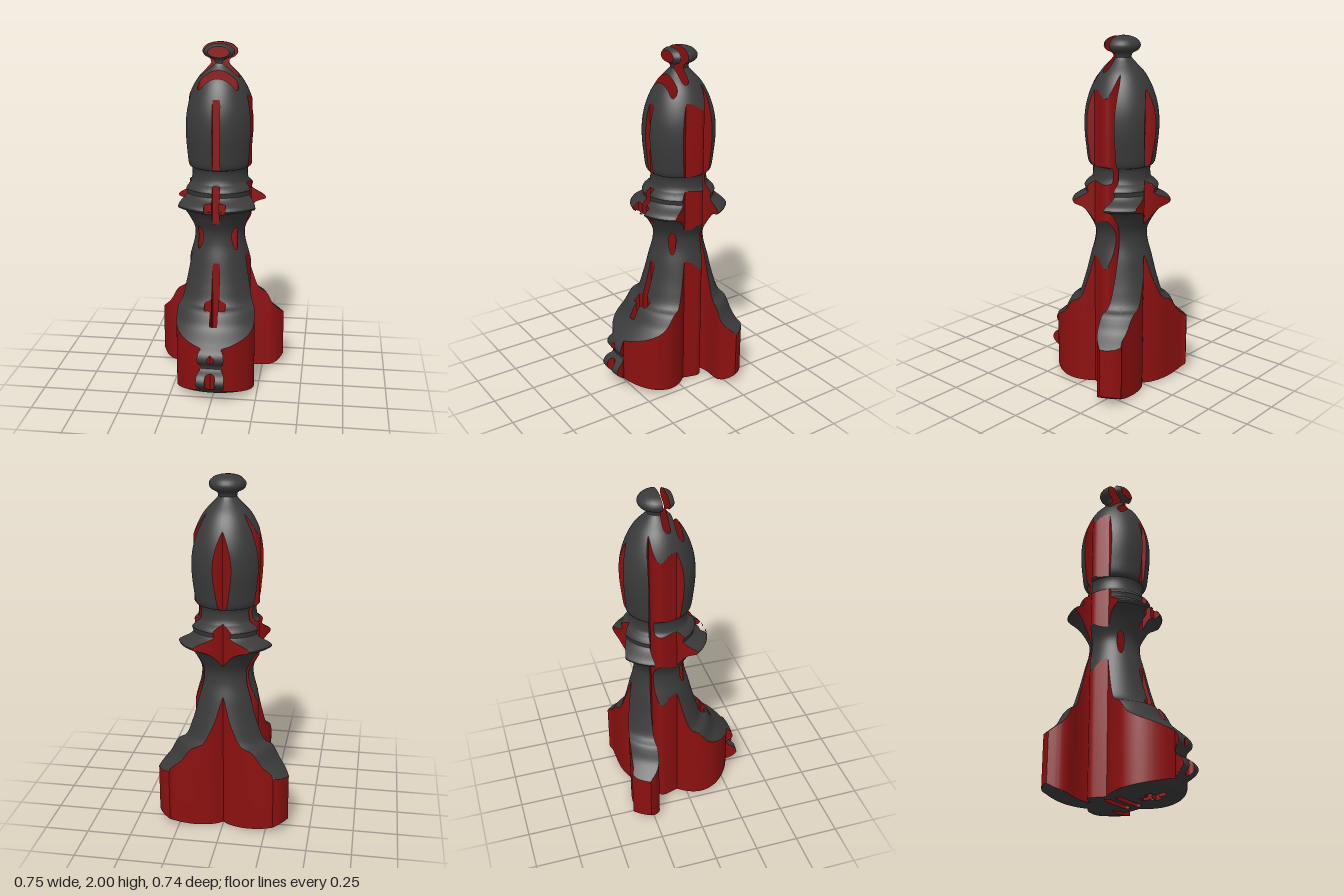
import * as THREE from 'three';
import { toCreasedNormals } from 'three/addons/utils/BufferGeometryUtils.js';

// A turned chess piece, cut vertically by a pierced emblem plan.
const AXIS_Z = -0.115;
const V2 = (p) => new THREE.Vector2(p[0], p[1]);

// Turning profile: [radius, y]
const PROFILE = [
  [0, 0], [0.3, 0.015], [0.38, 0.04], [0.435, 0.085], [0.475, 0.118], [0.486, 0.14], [0.468, 0.175],
  [0.422, 0.21], [0.43, 0.232], [0.455, 0.265], [0.448, 0.3], [0.405, 0.345], [0.33, 0.415],
  [0.303, 0.465], [0.285, 0.495], [0.247, 0.52], [0.21, 0.62], [0.172, 0.77], [0.148, 0.865],
  [0.147, 0.93], [0.18, 1.0], [0.225, 1.06], [0.276, 1.085], [0.272, 1.1], [0.212, 1.14],
  [0.2, 1.155], [0.207, 1.18], [0.187, 1.205], [0.166, 1.22], [0.163, 1.296], [0.18, 1.306],
  [0.197, 1.4], [0.206, 1.52], [0.198, 1.62], [0.168, 1.72], [0.125, 1.8], [0.07, 1.86],
  [0.05, 1.885], [0.056, 1.905], [0.09, 1.925], [0.1, 1.952], [0.08, 1.98], [0.04, 1.996], [0, 2],
];

// Right half of the emblem plan as [x, z] curves that meet at corners
const HALF_PLAN = [
  [[0, -0.28], [0.05, -0.315], [0.133, -0.34], [0.233, -0.35], [0.28, -0.356], [0.297, -0.37]],
  [[0.297, -0.37], [0.33, -0.348], [0.358, -0.312], [0.375, -0.28]],
  [[0.375, -0.28], [0.346, -0.236], [0.314, -0.212], [0.278, -0.206], [0.193, -0.213], [0.133, -0.205], [0.097, -0.187]],
  [[0.097, -0.187], [0.143, -0.181], [0.173, -0.164], [0.181, -0.137], [0.169, -0.09], [0.157, -0.054]],
  [[0.157, -0.054], [0.193, -0.006], [0.218, 0.044], [0.228, 0.1], [0.213, 0.167], [0.173, 0.227], [0.113, 0.276], [0.055, 0.302]],
  [[0.055, 0.302], [0.072, 0.324], [0.08, 0.358], [0.082, 0.4]],
  [[0.082, 0.4], [0.026, 0.4]],
  [[0.026, 0.4], [0.026, 0.375], [0.03, 0.36], [0.023, 0.341], [0, 0.331]],
];

// Sample chained curves evenly, leaving out each last point
function sampleChain(curves, step = 0.01) {
  return curves.flatMap((pts) => {
    const c = new THREE.SplineCurve(pts.map(V2));
    return c.getSpacedPoints(Math.max(2, Math.ceil(c.getLength() / step))).slice(0, -1);
  });
}

function polygon(points) {
  return sampleChain(points.map((p, i) => [p, points[(i + 1) % points.length]]));
}

function slot(z, halfX = 0.115, r = 0.02) {
  const pts = [];
  for (const side of [1, -1]) {
    for (let i = 0; i <= 8; i++) {
      const a = -Math.PI / 2 + (i / 8) * Math.PI;
      pts.push([side * (halfX - r + r * Math.cos(a)), z + side * r * Math.sin(a)]);
    }
  }
  return polygon(pts);
}

function cross(z, hw, armX, up, down, top, bottom) {
  return polygon([
    [-hw, up], [hw, up], [hw, top], [armX, top], [armX, bottom], [hw, bottom],
    [hw, down], [-hw, down], [-hw, bottom], [-armX, bottom], [-armX, top], [-hw, top],
  ]);
}

function planLoops() {
  const mirrored = HALF_PLAN.map((c) => c.map(([x, z]) => [-x, z]).reverse()).reverse();
  const outer = sampleChain([...HALF_PLAN, ...mirrored]);
  const holes = [slot(-0.088), slot(-0.016), cross(0, 0.021, 0.061, 0.06, 0.21, 0.115, 0.157)];
  // Wind every loop so that its walls face away from the material
  return [outer, ...holes].map((loop, i) =>
    (THREE.ShapeUtils.area(loop) > 0) === (i === 0) ? loop.reverse() : loop);
}

// Signed distance to the plan, positive in the material
function planDistance(loops, x, z) {
  let best = Infinity, inside = false;
  for (const loop of loops) {
    for (let i = 0, j = loop.length - 1; i < loop.length; j = i++) {
      const a = loop[j], b = loop[i];
      const dx = b.x - a.x, dz = b.y - a.y;
      const t = Math.min(1, Math.max(0, ((x - a.x) * dx + (z - a.y) * dz) / (dx * dx + dz * dz || 1)));
      best = Math.min(best, (x - a.x - t * dx) ** 2 + (z - a.y - t * dz) ** 2);
      if ((a.y > z) !== (b.y > z) && x < a.x + ((z - a.y) * dx) / dz) inside = !inside;
    }
  }
  return (inside ? 1 : -1) * Math.sqrt(best);
}

// Keep the part of a triangle where the fourth component is positive
function clipTriangle(tri, out) {
  const kept = [];
  tri.forEach((a, i) => {
    const b = tri[(i + 1) % 3];
    if (a.w > 0) kept.push(a);
    if ((a.w > 0) !== (b.w > 0)) {
      kept.push(a.w > 0 ? a.clone().lerp(b, a.w / (a.w - b.w)) : b.clone().lerp(a, b.w / (b.w - a.w)));
    }
  });
  for (let i = 2; i < kept.length; i++) {
    for (const v of [kept[0], kept[i - 1], kept[i]]) out.push(v.x, v.y, v.z);
  }
}

function makeMesh(name, positions, color, crease) {
  const geo = new THREE.BufferGeometry();
  geo.setAttribute('position', new THREE.Float32BufferAttribute(positions, 3));
  const mesh = new THREE.Mesh(toCreasedNormals(geo, crease), new THREE.MeshStandardMaterial({ color }));
  mesh.name = name;
  return mesh;
}

export function createModel() {
  const group = new THREE.Group();
  group.name = 'chessPiece';
  const loops = planLoops();
  const curve = new THREE.CatmullRomCurve3(PROFILE.map(([r, y]) => new THREE.Vector3(r, y, 0)));
  const profile = curve.getSpacedPoints(200).map((p) => new THREE.Vector2(Math.max(0, p.x), p.y));

  // Turned surface, kept only within the plan
  const lathe = new THREE.LatheGeometry(profile, 192);
  const pos = lathe.attributes.position;
  const verts = [];
  for (let i = 0; i < pos.count; i++) {
    const x = pos.getX(i), z = pos.getZ(i) + AXIS_Z;
    verts.push(new THREE.Vector4(x, pos.getY(i), z, planDistance(loops, x, z)));
  }
  const turned = [];
  const idx = lathe.index.array;
  for (let i = 0; i < idx.length; i += 3) {
    clipTriangle([verts[idx[i]], verts[idx[i + 1]], verts[idx[i + 2]]], turned);
  }
  group.add(makeMesh('turnedBody', turned, 0x3a3a3a, 0.7));

  // Vertical cut walls, kept only within the turned profile
  const cut = [];
  for (const loop of loops) {
    const columns = loop.map((p) => profile.map((q) =>
      new THREE.Vector4(p.x, q.y, p.y, q.x - Math.hypot(p.x, p.y - AXIS_Z))));
    columns.forEach((a, i) => {
      const b = columns[(i + 1) % columns.length];
      for (let k = 0; k < profile.length - 1; k++) {
        clipTriangle([a[k], b[k], b[k + 1]], cut);
        clipTriangle([a[k], b[k + 1], a[k + 1]], cut);
      }
    });
  }
  group.add(makeMesh('cutWalls', cut, 0x8c1010, 0.5));
  return group;
}
